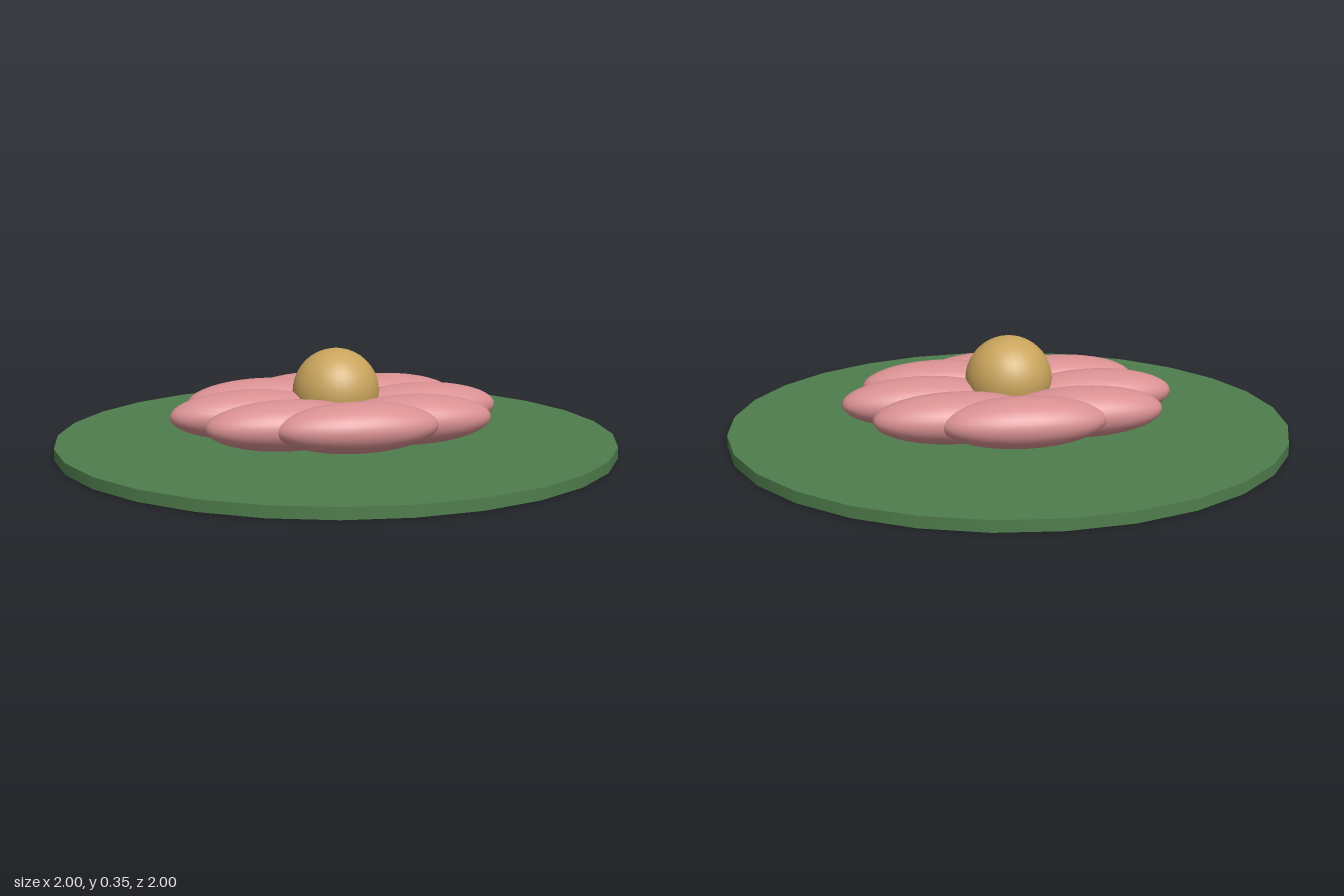
import * as THREE from 'three';

export function createModel() {
  const model = new THREE.Group();
  model.name = 'waterLily';

  const leafGreen = new THREE.MeshStandardMaterial({ name: 'leafGreen', color: 0x4f7d4c });
  const petalPink = new THREE.MeshStandardMaterial({ name: 'petalPink', color: 0xd99092 });
  const heartGold = new THREE.MeshStandardMaterial({ name: 'heartGold', color: 0xc9a45c });

  const add = (name, geometry, material, parent = model) => {
    const mesh = new THREE.Mesh(geometry, material);
    mesh.name = name;
    parent.add(mesh);
    return mesh;
  };

  // Thin floating leaf
  add('lilyPad', new THREE.CylinderGeometry(1, 1, 0.04, 28), leafGreen).position.y = 0.02;

  // Ring of eight flattened petals, all stretched along x
  const petals = new THREE.Group();
  petals.name = 'petals';
  model.add(petals);
  const petalGeometry = new THREE.SphereGeometry(1, 32, 20).scale(0.288, 0.087, 0.122);
  const ringRadius = 0.31;
  for (let i = 0; i < 8; i++) {
    const angle = (i * Math.PI) / 4;
    add(`petal${i + 1}`, petalGeometry, petalPink, petals)
      .position.set(Math.cos(angle) * ringRadius, 0.13, Math.sin(angle) * ringRadius);
  }

  // Round flower heart
  add('flowerHeart', new THREE.SphereGeometry(0.155, 32, 20), heartGold).position.y = 0.2;

  return model;
}
